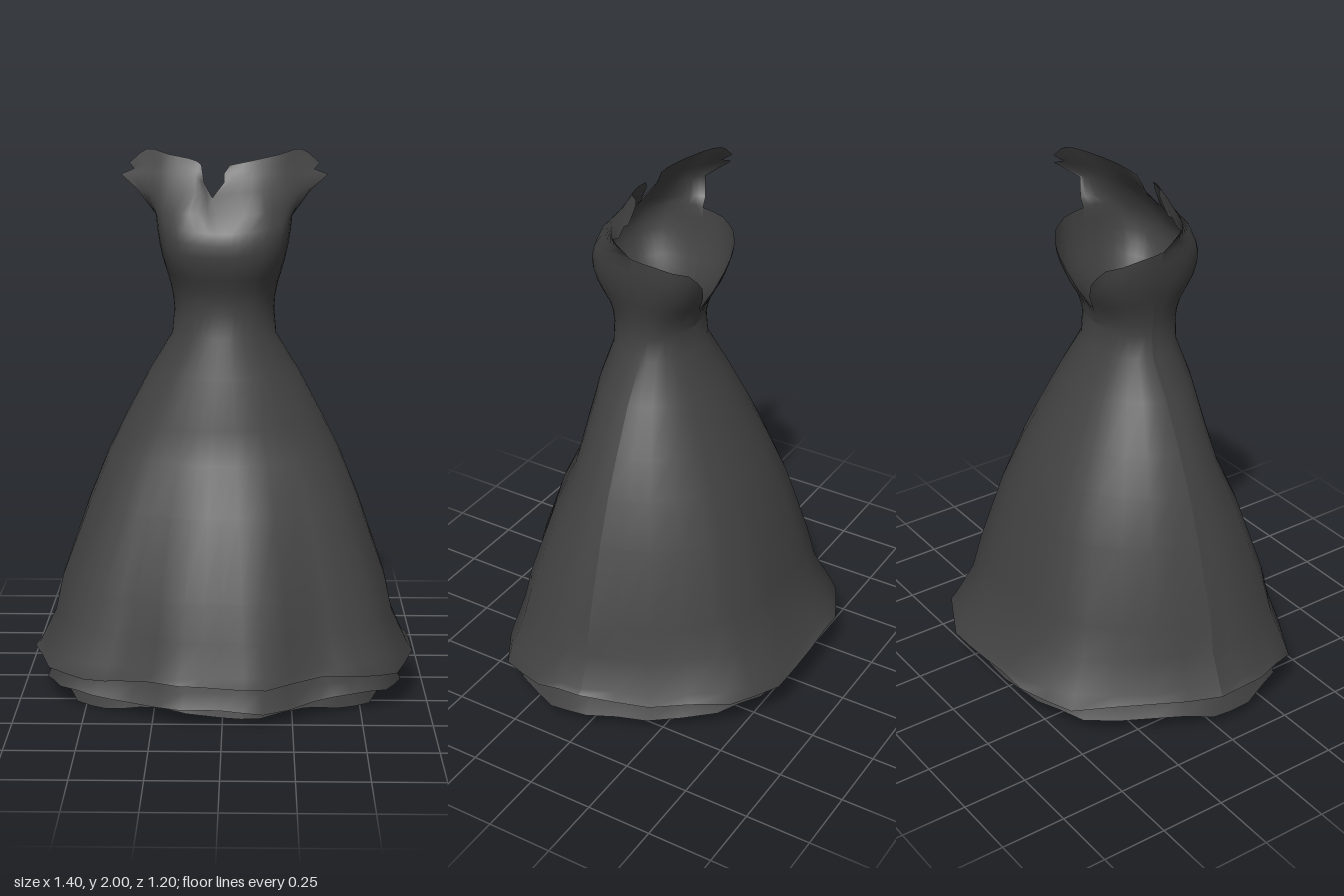
import * as THREE from 'three';
import { mergeGeometries, mergeVertices } from 'three/addons/utils/BufferGeometryUtils.js';

const lerp = THREE.MathUtils.lerp;

// Half outline of the hem as unit (x, z) pairs: front middle to side seam, side seam to back middle
const FRONT = [[0, 0.97], [0.22, 0.98], [0.5, 0.8], [0.71, 0.73], [0.9, 0.6], [1, 0.28], [0.985, 0]];
const BACK = [[0.985, 0], [0.84, -0.4], [0.61, -0.82], [0.33, -0.98], [0, -1]];

// Gown levels: y, half width, front z, back z, roundness exponent, share of hem outline
const GOWN = [
  [0.165, 0.7, 0.605, -0.605, 2, 1],
  [0.2, 0.68, 0.595, -0.58, 2, 1],
  [0.32, 0.625, 0.555, -0.51, 2, 0.85],
  [0.45, 0.6, 0.52, -0.475, 2, 0.7],
  [0.73, 0.5, 0.42, -0.395, 2, 0.4],
  [0.9, 0.43, 0.335, -0.32, 2, 0.25],
  [1.03, 0.365, 0.305, -0.255, 2, 0.1],
  [1.2, 0.275, 0.27, -0.17, 2, 0],
  [1.34, 0.19, 0.225, -0.095, 2.1, 0],
  [1.43, 0.182, 0.22, -0.085, 2.2, 0],
  [1.5, 0.187, 0.225, -0.1, 2.3, 0],
  [1.56, 0.205, 0.255, -0.135, 2.5, 0],
  [1.62, 0.222, 0.275, -0.158, 2.8, 0],
  [1.68, 0.234, 0.277, -0.172, 3, 0],
  [1.72, 0.24, 0.265, -0.175, 3, 0],
  [1.78, 0.246, 0.24, -0.165, 3, 0],
];
const MIDDLE = [
  [0.06, 0.66, 0.54, -0.52, 2, 1],
  [0.12, 0.63, 0.515, -0.49, 2, 1],
  [0.22, 0.59, 0.5, -0.47, 2, 0.9],
  [0.4, 0.56, 0.47, -0.43, 2, 0.7],
];
const INNER = [
  [0.02, 0.595, 0.49, -0.42, 2, 1],
  [0.1, 0.56, 0.47, -0.4, 2, 1],
  [0.3, 0.53, 0.44, -0.38, 2, 0.8],
];

// Adds a midpoint to every step of an outline
const refine = (pts) => pts.flatMap((p, i) => (i ? [[(p[0] + pts[i - 1][0]) / 2, (p[1] + pts[i - 1][1]) / 2], p] : [p]));

function levelAt(levels, y) {
  let i = 1;
  while (i < levels.length - 1 && levels[i][0] < y) i++;
  const a = levels[i - 1], b = levels[i];
  const t = THREE.MathUtils.clamp((y - a[0]) / (b[0] - a[0]), 0, 1);
  return a.map((v, k) => lerp(v, b[k], t));
}

// Point on the cloth at height y in the direction of outline pair (u, v)
function clothPoint(levels, [u, v], y) {
  const [, hw, zf, zb, e, w] = levelAt(levels, y);
  const a = Math.atan2(v, u);
  const r = (Math.abs(Math.cos(a)) ** e + Math.abs(Math.sin(a)) ** e) ** (-1 / e);
  const zc = y > 1.2 ? 0.03 : lerp(-0.01, 0.03, y / 1.2);
  const x = lerp(Math.cos(a) * r, u, w);
  const z = lerp(Math.sin(a) * r, v, w);
  return new THREE.Vector3(hw * x, y, zc + z * (z > 0 ? zf - zc : zc - zb));
}

const wave = (u, v, k) => Math.sin(Math.atan2(v, u) * 7 + k) * 0.6 + Math.sin(Math.atan2(v, u) * 4 + 2 * k) * 0.4;

// Sheet from rows of points: rows run upward, points run anticlockwise seen from above
function sheet(rows) {
  const n = rows[0].length, index = [];
  for (let i = 0; i < rows.length - 1; i++) {
    for (let j = 0; j < n - 1; j++) {
      const a = i * n + j;
      index.push(a, a + 1, a + n + 1, a, a + n + 1, a + n);
    }
  }
  const g = new THREE.BufferGeometry().setFromPoints(rows.flat());
  g.setIndex(index);
  return g;
}

function weld(parts) {
  const g = mergeVertices(mergeGeometries(parts), 1e-4);
  g.computeVertexNormals();
  return g;
}

// Collar curves from the front middle to the shoulder; the first x is set by the neck notch
const COLLAR = [
  [[1.78, 0.225], [0.12, 1.79, 0.225], [0.2, 1.79, 0.17], [0.25, 1.8, 0.09], [0.27, 1.8, 0.035]],
  [[1.84, 0.165], [0.1, 1.86, 0.165], [0.2, 1.86, 0.13], [0.27, 1.86, 0.09], [0.31, 1.86, 0.06]],
  [[1.89, 0.13], [0.1, 1.91, 0.125], [0.2, 1.92, 0.09], [0.28, 1.92, 0.04], [0.375, 1.91, -0.01]],
  [[1.92, 0.115], [0.1, 1.935, 0.11], [0.2, 1.95, 0.07], [0.27, 1.955, 0.02], [0.325, 1.93, 0]],
  [[1.95, 0.105], [0.1, 1.965, 0.09], [0.2, 1.985, 0.045], [0.28, 2, -0.02], [0.345, 1.95, -0.03]],
];
const NOTCH = { 1: [-0.02, -0.04, 0, 0, 0.02], '-1': [-0.02, -0.04, -0.07, -0.075, -0.08] };

// Top edge of the bodice: nearly level in front, two lobes with a deep V behind
function topEdge([u, v]) {
  if (v >= 0) return lerp(1.72, 1.77, Math.min(u, 1) ** 2);
  const steps = [[0, 1.5], [0.3, 1.62], [0.6, 1.71], [0.84, 1.755], [0.985, 1.77]];
  const i = Math.max(1, steps.findIndex((s) => s[0] >= u - 1e-6));
  const [a, b] = [steps[i - 1], steps[i]];
  return lerp(a[1], b[1], (u - a[0]) / (b[0] - a[0]));
}

// One quarter-side of the gown; side is +1 for its left, -1 for its right
function gownPart(outline, side, isFront) {
  const pts = refine(outline);
  const rows = GOWN.slice(0, 10).map((l, i) => pts.map((p) => {
    const q = clothPoint(GOWN, p, l[0]);
    if (i === 0) q.y += 0.02 * wave(p[0] * side, p[1], 1);
    return q;
  }));
  for (let k = 1; k <= 7; k++) {
    rows.push(pts.map((p) => clothPoint(GOWN, p, lerp(1.43, topEdge(p), k / 7))));
  }
  rows.forEach((r) => r.forEach((q) => { q.x *= side; }));
  if (isFront) {
    COLLAR.forEach((row, i) => {
      const curve = new THREE.CatmullRomCurve3(row.map((c, k) => (k
        ? new THREE.Vector3(side * c[0], c[1], c[2])
        : new THREE.Vector3(NOTCH[side][i], c[0], c[1]))));
      rows.push(pts.map((p, j) => curve.getPoint(j / (pts.length - 1))));
    });
  }
  if ((side > 0) !== true) rows.forEach((r) => r.reverse());
  return sheet(rows);
}

// Closed ruffle hanging below the gown
function ruffle(levels, amp, phase) {
  const half = [...refine(FRONT), ...refine(BACK).slice(1)];
  const ring = [...half, ...half.slice(0, -1).reverse().map(([u, v]) => [-u, v])];
  return weld([sheet(levels.map((l, i) => ring.map((p) => {
    const q = clothPoint(levels, p, l[0]);
    if (i === 0) q.y += amp * wave(p[0], p[1], phase);
    return q;
  })))]);
}

export function createModel() {
  const model = new THREE.Group();
  model.name = 'gown';
  const cloth = new THREE.MeshStandardMaterial({ color: 0x424242, side: THREE.DoubleSide });
  cloth.name = 'charcoalCloth';
  const add = (name, geometry) => {
    const mesh = new THREE.Mesh(geometry, cloth);
    mesh.name = name;
    model.add(mesh);
  };

  // Front and back panels meet at side seams
  add('frontPanel', weld([gownPart(FRONT, 1, true), gownPart(FRONT, -1, true)]));
  add('backPanel', weld([gownPart(BACK, 1, false), gownPart(BACK, -1, false)]));
  // Two underskirt layers
  add('middleRuffle', ruffle(MIDDLE, 0.018, 2.4));
  add('innerRuffle', ruffle(INNER, 0.02, 0.5));
  return model;
}
